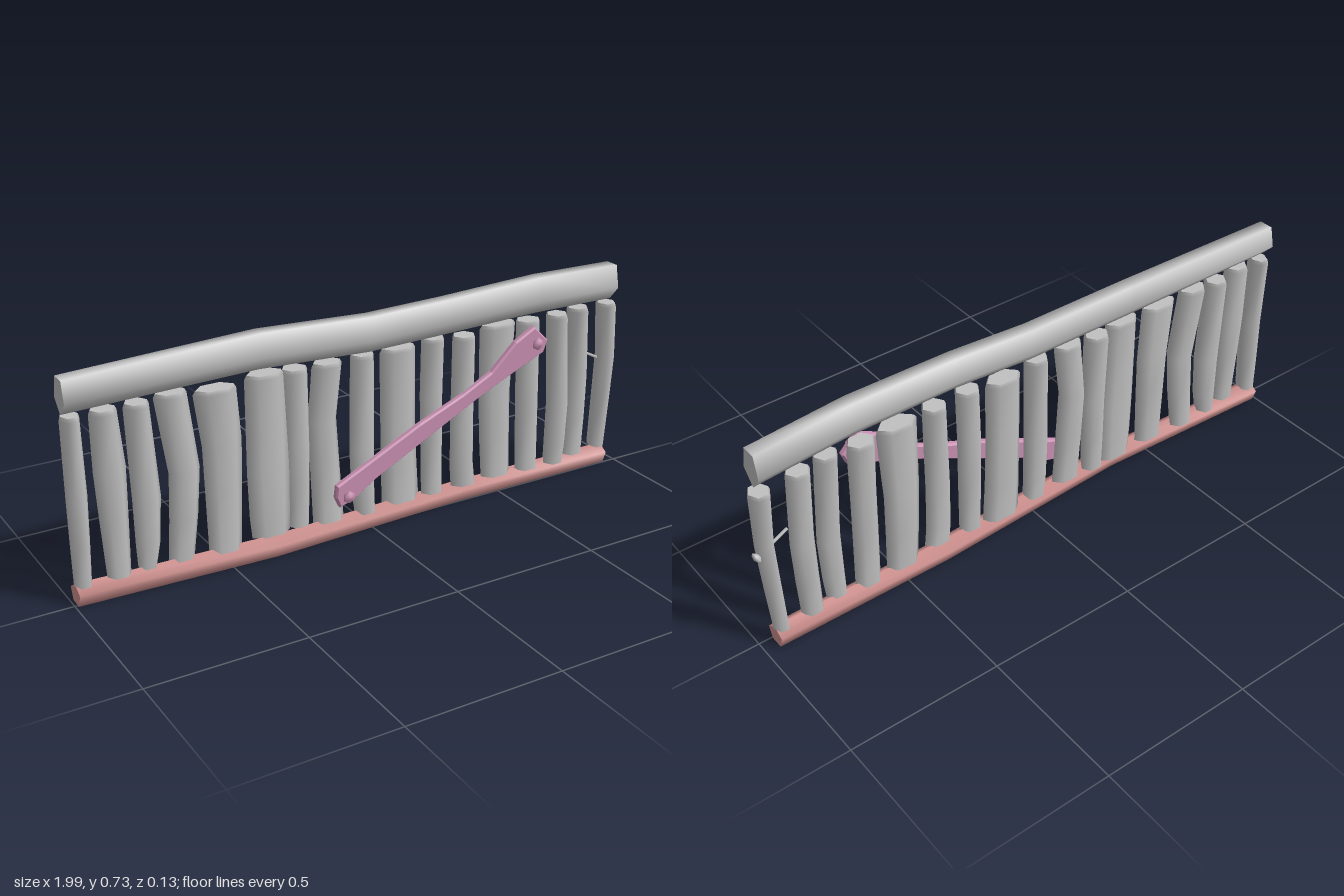
import * as THREE from 'three';

const mat = (name, color) => {
  const m = new THREE.MeshStandardMaterial({ color });
  m.name = name;
  return m;
};

// Smooth-sided beam with flat caps; sections are [x, y, z, r1, r2].
// Along 'x' the radii are (y, z); along 'y' they are (z, x).
function beam(sections, axis, sides, phase) {
  const pos = [], index = [];
  const ring = ([x, y, z, r1, r2]) => {
    for (let j = 0; j < sides; j++) {
      const a = phase + (j / sides) * Math.PI * 2;
      const u = Math.cos(a) * r1, v = Math.sin(a) * r2;
      if (axis === 'x') pos.push(x, y + u, z + v);
      else pos.push(x + v, y, z + u);
    }
  };
  sections.forEach(ring);
  for (let i = 0; i < sections.length - 1; i++) {
    for (let j = 0; j < sides; j++) {
      const k = (j + 1) % sides;
      const a = i * sides + j, b = i * sides + k;
      index.push(a, b, b + sides, a, b + sides, a + sides);
    }
  }
  // caps
  [sections[0], sections[sections.length - 1]].forEach((s, end) => {
    const base = pos.length / 3;
    ring(s);
    for (let j = 1; j < sides - 1; j++) {
      if (end) index.push(base, base + j, base + j + 1);
      else index.push(base, base + j + 1, base + j);
    }
  });
  const g = new THREE.BufferGeometry();
  g.setAttribute('position', new THREE.Float32BufferAttribute(pos, 3));
  g.setIndex(index);
  g.computeVertexNormals();
  return g;
}

// Domed nail pointing along +y, head on top
function nailGeometry(r, shaft) {
  const p = [[0, -shaft], [0.005, -shaft], [0.006, 0], [r * 0.5, 0.004],
    [r, 0.011], [r * 0.75, 0.019], [0, 0.023]];
  return new THREE.LatheGeometry(p.map(([x, y]) => new THREE.Vector2(x, y)), 6);
}

export function createModel() {
  const root = new THREE.Group();
  root.name = 'fence';
  const grey = mat('weatheredGrey', 0xc0c0c0);
  const red = mat('dustyRed', 0xd09290);
  const pink = mat('mauvePink', 0xca90b2);
  const add = (name, geometry, material) => {
    const mesh = new THREE.Mesh(geometry, material);
    mesh.name = name;
    root.add(mesh);
    return mesh;
  };

  // Wavy top rail, pentagon with its point down
  add('topRail', beam([
    [-0.99, 0.656, -0.01, 0.06, 0.042],
    [-0.37, 0.67, -0.022, 0.066, 0.042],
    [0, 0.658, -0.008, 0.066, 0.041],
    [0.27, 0.668, 0.002, 0.066, 0.041],
    [0.63, 0.677, -0.006, 0.069, 0.041],
    [0.955, 0.666, -0.022, 0.068, 0.042],
  ], 'x', 5, Math.PI), grey);

  // Bottom rail, pentagon with its point up
  add('bottomRail', beam([
    [-0.99, 0.029, -0.014, 0.036, 0.039],
    [-0.35, 0.029, 0.01, 0.036, 0.039],
    [0.35, 0.029, -0.026, 0.036, 0.039],
    [0.955, 0.029, -0.026, 0.036, 0.039],
  ], 'x', 5, 0), red);

  // Pickets: [bottom x, middle x, top x, bottom width, middle width, top width]
  const pickets = [
    [-0.965, -0.965, -0.965, 0.055, 0.065, 0.06],
    [-0.855, -0.86, -0.87, 0.075, 0.1, 0.085],
    [-0.76, -0.75, -0.765, 0.06, 0.09, 0.08],
    [-0.65, -0.63, -0.66, 0.085, 0.1, 0.105],
    [-0.51, -0.505, -0.525, 0.11, 0.13, 0.14],
    [-0.35, -0.355, -0.36, 0.13, 0.145, 0.13],
    [-0.25, -0.25, -0.255, 0.075, 0.085, 0.09],
    [-0.15, -0.165, -0.15, 0.11, 0.1, 0.105],
    [-0.015, -0.03, -0.025, 0.075, 0.09, 0.085],
    [0.125, 0.115, 0.11, 0.14, 0.13, 0.13],
    [0.24, 0.235, 0.235, 0.08, 0.085, 0.085],
    [0.36, 0.345, 0.35, 0.095, 0.09, 0.085],
    [0.5, 0.49, 0.49, 0.115, 0.125, 0.14],
    [0.625, 0.615, 0.61, 0.09, 0.09, 0.095],
    [0.73, 0.735, 0.72, 0.07, 0.08, 0.08],
    [0.825, 0.835, 0.82, 0.075, 0.08, 0.08],
    [0.935, 0.95, 0.945, 0.05, 0.06, 0.07],
  ];
  pickets.forEach(([xb, xm, xt, wb, wm, wt], i) => {
    const z = -0.014 + 0.008 * Math.sin(i * 1.9) - (i > 14 ? 0.008 : 0);
    const bend = 0.007 * Math.cos(i * 2.3);
    const top = 0.59 + 0.006 * Math.sin(i * 2.7);
    const y = 0.057 + 0.005 * Math.sin(i * 1.3);
    const mid = 0.3 + 0.07 * Math.sin(i * 2.1);
    add('picket', beam([
      [xb, y, z, 0.034, wb / 2],
      [xb * 0.4 + xm * 0.6, mid - 0.11, z + bend * 0.5, 0.037, wb * 0.2 + wm * 0.3],
      [xm, mid + 0.04, z + bend, 0.038, wm / 2],
      [xt, top - 0.012, z, 0.038, wt / 2],
      [xt, top, z, 0.034, wt * 0.44],
    ], 'y', 6, Math.PI / 6), grey);
  });

  // Diagonal repair plank with a flared upper end
  const outline = [[-0.145, 0.19], [0.16, 0.335], [0.32, 0.4], [0.43, 0.455],
    [0.52, 0.54], [0.595, 0.58], [0.65, 0.525], [0.635, 0.485], [0.48, 0.42],
    [0.38, 0.375], [0.22, 0.295], [0, 0.185], [-0.09, 0.128], [-0.135, 0.115],
    [-0.15, 0.15]];
  const plank = new THREE.ExtrudeGeometry(
    new THREE.Shape(outline.map(([x, y]) => new THREE.Vector2(x, y))), {
      depth: 0.013, bevelEnabled: true, bevelThickness: 0.006,
      bevelSize: 0.005, bevelOffset: -0.005, bevelSegments: 1,
    });
  plank.translate(0, 0, 0.026);
  add('repairPlank', plank, pink);

  // Nails at both ends of the plank
  for (const [x, y] of [[-0.11, 0.152], [0.6, 0.525]]) {
    const nail = add('plankNail', nailGeometry(0.022, 0.02), pink);
    nail.position.set(x, y, 0.044);
    nail.rotation.x = Math.PI / 2;
  }

  // Slanted nail driven through the end picket
  const sideNail = add('sideNail', nailGeometry(0.019, 0.105), grey);
  sideNail.position.set(0.969, 0.364, -0.032);
  sideNail.rotation.z = -Math.PI / 2 - 0.48;

  return root;
}
